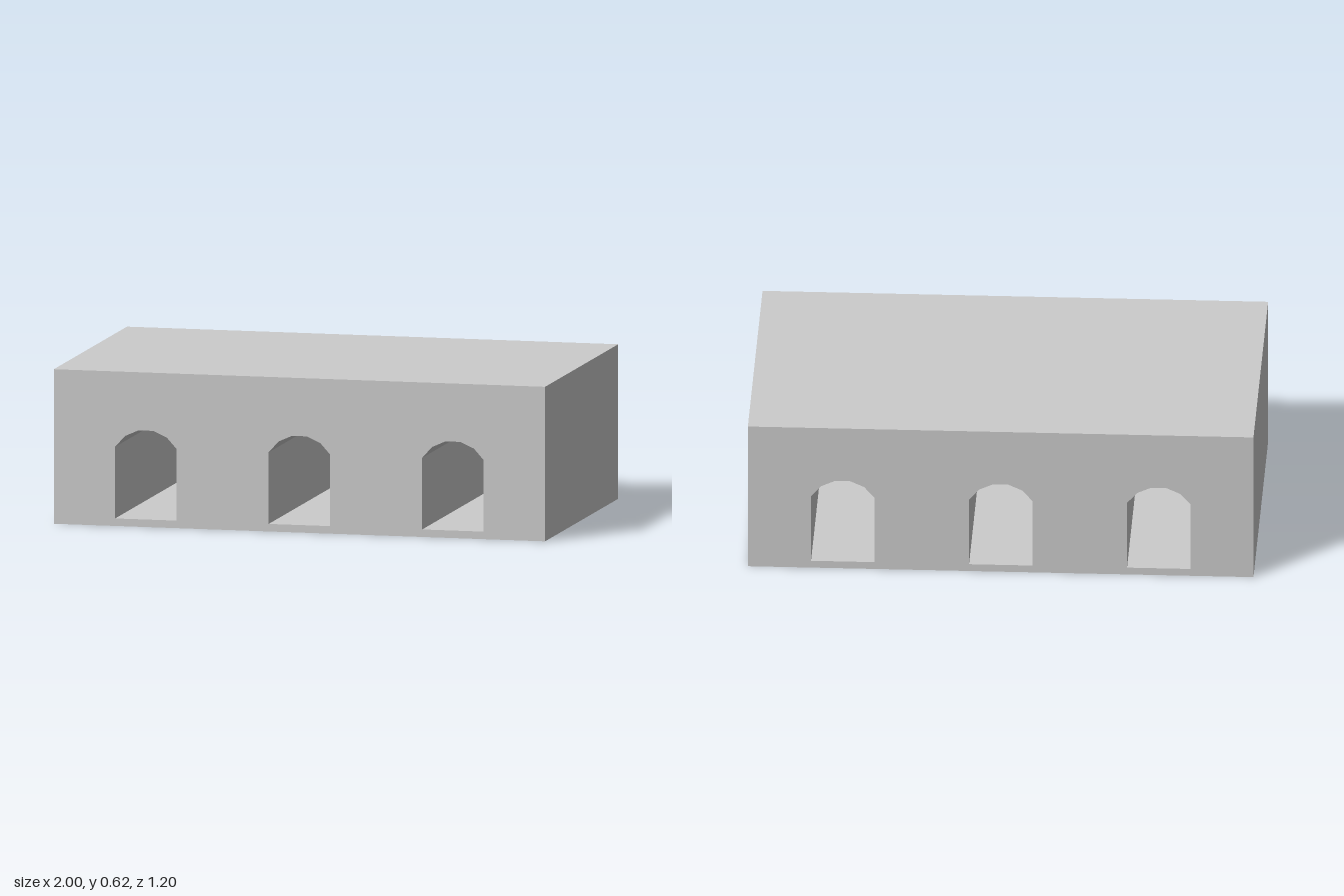
import * as THREE from 'three';

const WIDTH = 2, HEIGHT = 0.617, DEPTH = 1.2;
const OPENING = { half: 0.125, floor: 0.03, top: 0.385, segments: 5 };

// Arched opening: straight sides under a faceted 120 degree arc
function archHole(cx) {
  const { half, floor, top, segments } = OPENING;
  const sweep = Math.PI * 2 / 3;
  const radius = half / Math.sin(sweep / 2);
  const cy = top - radius * Math.cos(sweep / segments / 2);
  const points = [new THREE.Vector2(cx + half, floor), new THREE.Vector2(cx - half, floor)];
  for (let i = 0; i <= segments; i++) {
    const a = -sweep / 2 + sweep * i / segments;
    points.push(new THREE.Vector2(cx + radius * Math.sin(a), cy + radius * Math.cos(a)));
  }
  return new THREE.Path(points);
}

export function createModel() {
  const group = new THREE.Group();
  group.name = 'archedBlock';

  // Solid block pierced front to back by three arched tunnels
  const outline = new THREE.Shape([
    new THREE.Vector2(-WIDTH / 2, 0),
    new THREE.Vector2(WIDTH / 2, 0),
    new THREE.Vector2(WIDTH / 2, HEIGHT),
    new THREE.Vector2(-WIDTH / 2, HEIGHT),
  ]);
  for (const x of [-0.625, 0, 0.625]) outline.holes.push(archHole(x));

  const geometry = new THREE.ExtrudeGeometry(outline, { depth: DEPTH, bevelEnabled: false });
  geometry.translate(0, 0, -DEPTH / 2);
  const block = new THREE.Mesh(
    geometry,
    new THREE.MeshStandardMaterial({ color: 0xcccccc, flatShading: true })
  );
  block.name = 'blockWithTunnels';
  group.add(block);
  return group;
}
